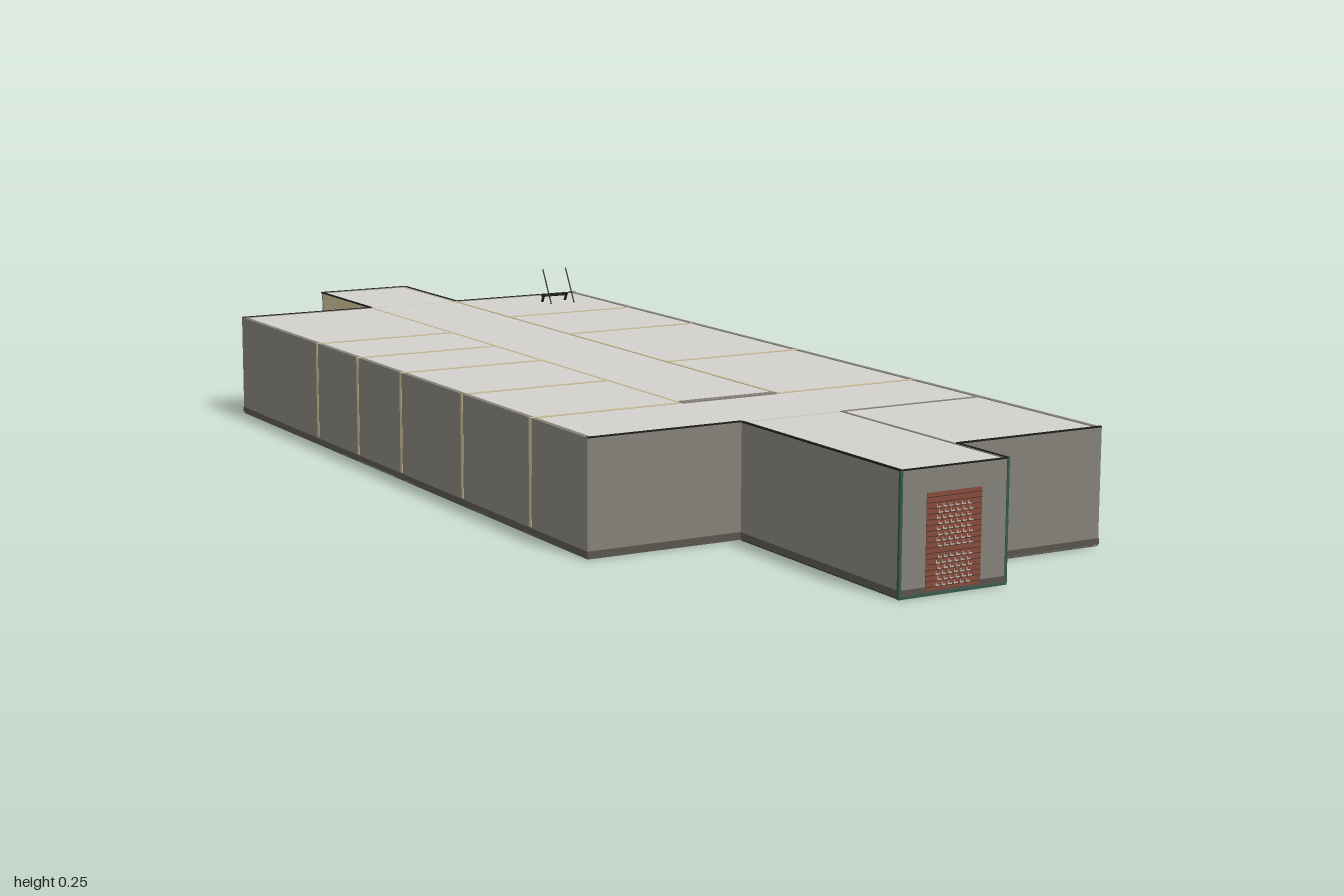
import * as THREE from 'three';

const mat = (name, color) => Object.assign(new THREE.MeshStandardMaterial({ color }), { name });

export function createModel() {
  const wall = mat('grey wall', 0x838077), roof = mat('pale ceiling', 0xd2d0cb);
  const tan = mat('tan plaster', 0xc6ba94), floor = mat('dark floor', 0x57534c);
  const black = mat('black floor', 0x353a36), brown = mat('brown floor', 0x4c3728);
  const green = mat('green trim', 0x33594a), brick = mat('brick red', 0x854a3a);
  const mortar = mat('pale mortar', 0xb9b3ac), metal = mat('black metal', 0x1c1d1a);

  const model = new THREE.Group();
  model.name = 'building';
  const group = (name) => {
    const g = new THREE.Group();
    g.name = name;
    model.add(g);
    return g;
  };
  // Box given by its limits on each axis
  const box = (parent, name, m, x0, x1, y0, y1, z0, z1) => {
    const mesh = new THREE.Mesh(new THREE.BoxGeometry(x1 - x0, y1 - y0, z1 - z0), m);
    mesh.position.set((x0 + x1) / 2, (y0 + y1) / 2, (z0 + z1) / 2);
    mesh.name = name;
    parent.add(mesh);
    return mesh;
  };

  const W = 0.355, C = 0.091, B = -0.765, F = 0.585, R = 0.88, H = 0.183, T = 0.009;

  // Floor and ceiling slabs: two wings, front hall, corridor and side room
  const slabs = group('slabs');
  const areas = [[-W, W, B, F], [-C, C, -1, B], [-C, C, F, 1], [C, W, F, R]];
  for (const [x0, x1, z0, z1] of areas) {
    box(slabs, 'floor', floor, x0, x1, 0.001, 0.006, z0, z1);
    box(slabs, 'ceiling', roof, x0 + 0.003, x1 - 0.003, 0.177, 0.182, z0 + 0.002, z1 - 0.002);
  }

  // Differently coloured room floors
  box(slabs, 'blackFloor', black, C, W - 0.012, 0, 0.002, -0.29, 0.06);
  box(slabs, 'blackFloor', black, -W + 0.012, -C, 0, 0.002, -0.41, -0.065);
  box(slabs, 'brownFloor', brown, -W + 0.012, -C, 0, 0.002, -0.065, 0.17);
  box(slabs, 'blackFloor', black, -C, C, 0, 0.002, F, 0.995);

  // Outer walls with a dark skirting
  const outer = group('outerWalls');
  const outerWall = (x0, x1, z0, z1) => {
    box(outer, 'outerWall', wall, x0, x1, 0.001, H, z0, z1);
    box(outer, 'skirting', floor, x0 - 0.001, x1 + 0.001, 0.004, 0.013, z0 - 0.001, z1 + 0.001);
  };
  outerWall(-W, -W + T, B, F);
  outerWall(W - T, W, B, R);
  for (const s of [-1, 1]) outerWall(s < 0 ? -W : C, s < 0 ? -C : W, B, B + 0.006);
  outerWall(-W, -C, F - 0.006, F);
  outerWall(C, W, R - 0.006, R);
  outerWall(-C, -C + 0.005, F, 1);
  outerWall(C - 0.005, C, F, 1);
  outerWall(-C, C, 0.995, 1);
  box(outer, 'sideRoomWall', wall, C, W, 0.006, H, F - 0.003, F + 0.003);
  box(outer, 'hallBeam', wall, -0.088, 0.085, 0.15, H + 0.001, 0.394, 0.409);

  // Tan walls of the rooms, showing at the roof and through the outer walls
  const inner = group('innerWalls');
  for (const z of [-0.41, -0.235, -0.06, 0.17, 0.404])
    box(inner, 'leftPartition', tan, -W - 0.0005, -C, 0.014, H, z - 0.004, z + 0.004);
  for (const z of [-0.53, -0.295, 0.055, 0.404])
    box(inner, 'rightPartition', tan, C, W + 0.0005, 0.014, H, z - 0.004, z + 0.004);
  box(inner, 'corridorWall', tan, C - 0.005, C, 0.006, H, -0.996, 0.404);
  box(inner, 'corridorWall', tan, -C, -C + 0.005, 0.006, 0.1825, -0.996, 0.404);

  // Back wall with an open doorway
  const back = group('backEntrance');
  const shape = new THREE.Shape([[-C, 0.001], [C, 0.001], [C, H], [-C, H]].map(p => new THREE.Vector2(...p)));
  shape.holes.push(new THREE.Path([[-0.032, 0.009], [-0.032, 0.145], [0.034, 0.145], [0.034, 0.009]].map(p => new THREE.Vector2(...p))));
  const backWall = new THREE.Mesh(new THREE.ExtrudeGeometry(shape, { depth: 0.005, bevelEnabled: false }), wall);
  backWall.position.z = -1;
  backWall.name = 'backWall';
  back.add(backWall);
  for (const x of [-0.032, 0.03]) box(back, 'doorPost', brown, x, x + 0.004, 0.009, 0.145, -1.0, -0.992);
  box(back, 'doorLintel', brown, -0.032, 0.034, 0.141, 0.145, -1.0, -0.992);
  box(back, 'doorLeaf', brick, -0.028, -0.012, 0.009, 0.141, -0.996, -0.993);
  box(back, 'doorRail', brick, -0.012, 0.03, 0.07, 0.076, -0.996, -0.993);

  // Brick panel with two fields of mortar joints
  const panel = group('brickPanel');
  box(panel, 'bricks', brick, -0.048, 0.046, 0.008, 0.147, 0.999, 1.0012);
  for (let i = 0; i < 17; i++) {
    const y = 0.012 + i * 0.008;
    box(panel, 'course', brown, -0.048, 0.046, y, y + 0.0012, 1, 1.0016);
    if (i === 6 || i > 14) continue;
    for (let j = 0; j < 6; j++) {
      const x = -0.031 + j * 0.0105 + (i % 2) * 0.003;
      box(panel, 'joint', mortar, x, x + 0.0065, y + 0.001, y + 0.0028, 1, 1.002);
      box(panel, 'upright', mortar, x, x + 0.0012, y + 0.001, y + 0.006, 1, 1.002);
    }
  }

  // Green corner trim and dark roof edging of the corridor ends
  const trim = group('trim');
  for (const s of [-1, 1]) {
    const x = s * C;
    box(trim, 'frontCornerTrim', green, x - 0.002, x + 0.002, 0, H, 0.996, 1.001);
    box(trim, 'backCornerTrim', green, x - 0.002, x + 0.002, 0, 0.095, -1.001, -0.988);
    box(trim, 'frontRoofEdge', metal, x - 0.0025, x + 0.0025, H - 0.001, H + 0.001, s > 0 ? R : F, 1);
    box(trim, 'backRoofEdge', metal, x - 0.0025, x + 0.0025, H - 0.001, H + 0.001, -1, B);
    box(trim, 'endRoofEdge', metal, -C, C, H - 0.001, H + 0.001, s - 0.0025, s + 0.001);
    box(trim, 'wingRoofEdge', metal, s < 0 ? -W : C, s < 0 ? -C : W, H - 0.001, H + 0.001, B - 0.0005, B + 0.004);
  }
  box(trim, 'leftFrontRoofEdge', metal, -W, -C, H - 0.001, H + 0.001, F - 0.004, F + 0.0005);
  box(trim, 'sideRoomRoofEdge', metal, C, W, H - 0.001, H + 0.001, R - 0.004, R + 0.0005);
  box(trim, 'frontSill', green, -C, C, 0, 0.004, 0.996, 1.001);

  // Slanted metal rack on the roof
  const rack = group('roofRack');
  const rod = (name, a, b, r) => {
    const p = new THREE.Vector3(...a), q = new THREE.Vector3(...b);
    const mesh = new THREE.Mesh(new THREE.CylinderGeometry(r, r, p.distanceTo(q), 6), metal);
    mesh.position.copy(p).add(q).multiplyScalar(0.5);
    mesh.quaternion.setFromUnitVectors(new THREE.Vector3(0, 1, 0), q.sub(p).normalize());
    mesh.name = name;
    rack.add(mesh);
  };
  for (const x of [0.237, 0.287]) {
    rod('slantedPost', [x, 0.182, -0.642], [x, 0.246, -0.677], 0.0012);
    rod('foot', [x, 0.182, -0.68], [x, 0.197, -0.672], 0.0025);
  }
  rod('crossbar', [0.235, 0.194, -0.678], [0.289, 0.194, -0.678], 0.0025);
  return model;
}
